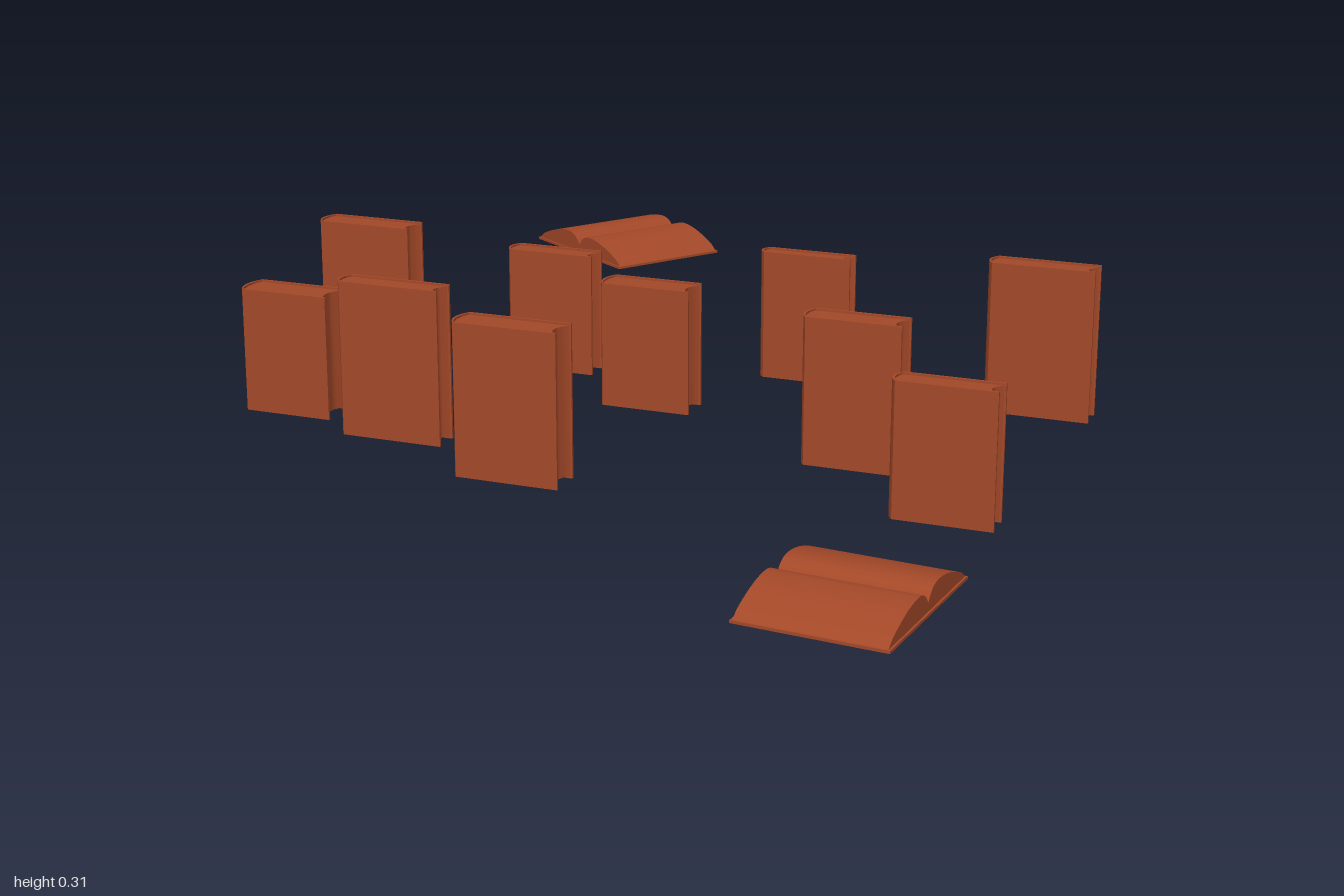
import * as THREE from 'three';
import { toCreasedNormals } from 'three/addons/utils/BufferGeometryUtils.js';

const leather = new THREE.MeshStandardMaterial({ color: 0xa34828 });
const paper = new THREE.MeshStandardMaterial({ color: 0xa34828 });

function extrude(shape, depth) {
  const geo = new THREE.ExtrudeGeometry(shape, { depth, bevelEnabled: false, curveSegments: 10 });
  return toCreasedNormals(geo, 0.5);
}

function addMesh(group, name, geometry, material) {
  const mesh = new THREE.Mesh(geometry, material);
  mesh.name = name;
  group.add(mesh);
  return mesh;
}

// Upright book: rounded spine at -x, hollow fore-edge at +x
function closedBook(width, height, thick) {
  const book = new THREE.Group();
  book.name = 'closedBook';
  const w = width / 2, t = thick / 2, board = 0.005, bulge = 0.012, lip = 0.004;
  const i = t - board, back = -w + bulge;

  // cover: two boards joined by the curved spine
  const cover = new THREE.Shape();
  cover.moveTo(w, -t);
  cover.lineTo(w, -i);
  cover.lineTo(back, -i);
  cover.quadraticCurveTo(-w - bulge + 2 * board, 0, back, i);
  cover.lineTo(w, i);
  cover.lineTo(w, t);
  cover.lineTo(back, t);
  cover.quadraticCurveTo(-w - bulge, 0, back, -t);
  addMesh(book, 'cover', extrude(cover, height).rotateX(-Math.PI / 2), leather);

  // page block, slightly shorter than the cover
  const pages = new THREE.Shape();
  pages.moveTo(back, -i);
  pages.lineTo(w - 0.004, -i);
  pages.quadraticCurveTo(w - 0.034, 0, w - 0.004, i);
  pages.lineTo(back, i);
  pages.quadraticCurveTo(-w - bulge + 2 * board, 0, back, -i);
  const block = addMesh(book, 'pages', extrude(pages, height - 2 * lip).rotateX(-Math.PI / 2), paper);
  block.position.y = lip;
  return book;
}

// Book lying open: flat cover with two arched halves of pages
function openBook(width, length) {
  const book = new THREE.Group();
  book.name = 'openBook';
  const w = width / 2, t = 0.005;

  const cover = new THREE.Shape();
  cover.moveTo(-w, 0);
  cover.lineTo(w, 0);
  cover.lineTo(w, t);
  cover.lineTo(-w, t);
  addMesh(book, 'cover', extrude(cover, length).translate(0, 0, -length / 2), leather);

  const block = length - 0.008;
  for (const s of [1, -1]) {
    const pages = new THREE.Shape();
    pages.moveTo(0, t);
    pages.lineTo(s * (w - 0.003), t);
    pages.lineTo(s * (w - 0.018), 0.017);
    pages.bezierCurveTo(s * 0.11, 0.036, s * 0.075, 0.045, s * 0.045, 0.045);
    pages.bezierCurveTo(s * 0.022, 0.045, s * 0.01, 0.036, 0, 0.02);
    addMesh(book, s > 0 ? 'rightPages' : 'leftPages', extrude(pages, block).translate(0, 0, -block / 2), paper);
  }
  return book;
}

export function createModel() {
  const model = new THREE.Group();
  model.name = 'books';

  // x, z, base, width, top, thickness
  const closed = [
    [-0.705, -0.12, 0.008, 0.215, 0.302, 0.07],
    [-0.313, -0.188, 0.008, 0.195, 0.261, 0.058],
    [-0.037, -0.034, 0.003, 0.195, 0.255, 0.075],
    [0.203, -0.302, 0.008, 0.195, 0.275, 0.044],
    [0.703, -0.25, 0.008, 0.215, 0.313, 0.06],
    [0.456, 0.182, 0.008, 0.195, 0.293, 0.068],
    [0.691, 0.405, 0.008, 0.195, 0.261, 0.058],
    [-0.674, 0.266, 0.008, 0.195, 0.256, 0.08],
    [-0.41, 0.344, 0.008, 0.218, 0.313, 0.058],
    [-0.103, 0.477, 0.008, 0.215, 0.302, 0.074],
  ];
  for (const [x, z, base, width, top, thick] of closed) {
    const book = closedBook(width, top - base, thick);
    book.position.set(x, base, z);
    model.add(book);
  }

  // x, y, z, turn about the vertical
  const open = [
    [-0.397, 0.121, -0.793, -0.596],
    [0.651, 0.006, 0.811, -1.66],
  ];
  for (const [x, y, z, turn] of open) {
    const book = openBook(0.343, 0.27);
    book.position.set(x, y, z);
    book.rotation.y = turn;
    model.add(book);
  }
  return model;
}
